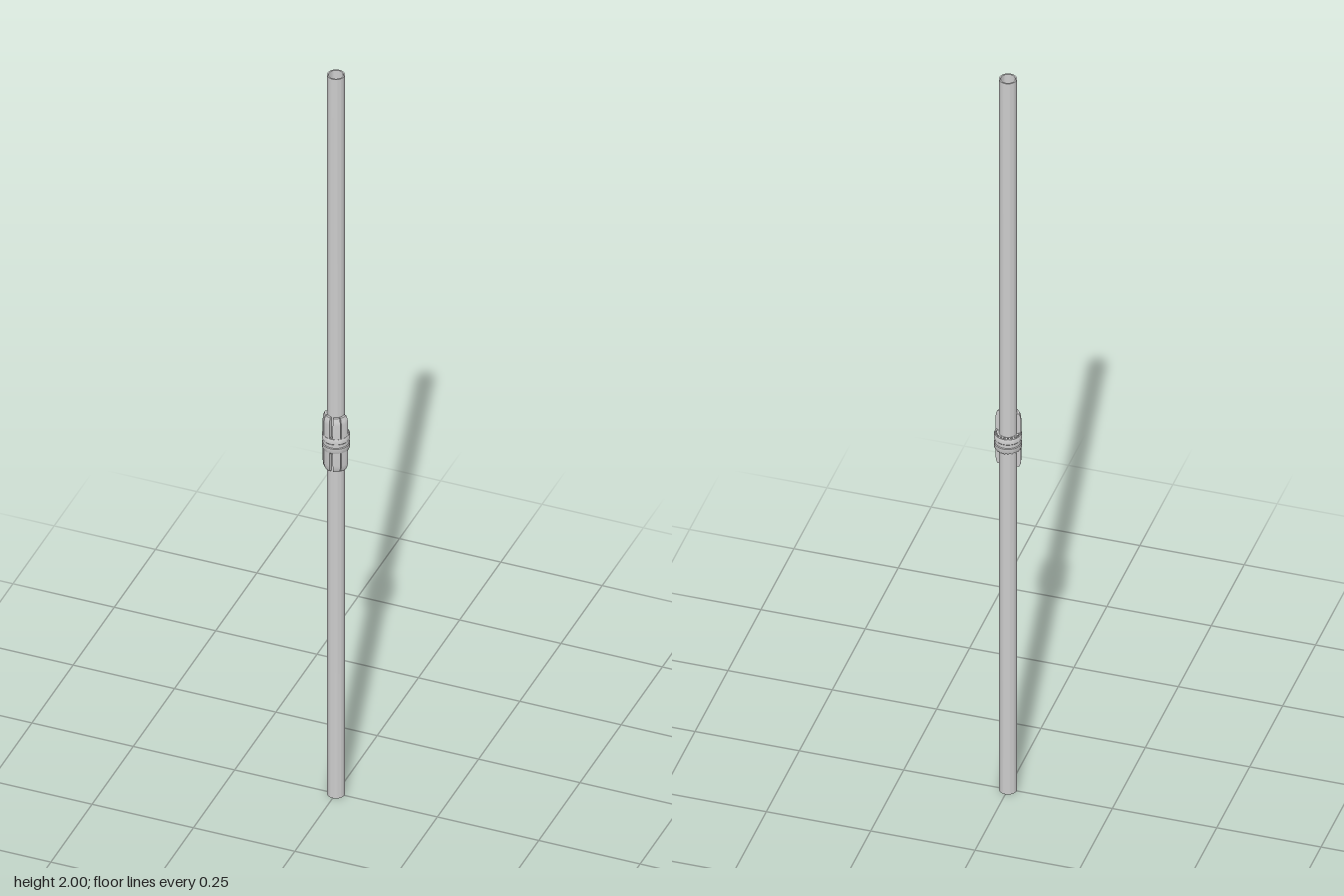
import * as THREE from 'three';
import { toCreasedNormals } from 'three/addons/utils/BufferGeometryUtils.js';

const material = new THREE.MeshStandardMaterial({ color: 0xcccccc, side: THREE.DoubleSide });
const points = (list) => list.map(([r, y]) => new THREE.Vector2(r, y));

function add(parent, name, geometry) {
  const mesh = new THREE.Mesh(geometry, material);
  mesh.name = name;
  parent.add(mesh);
  return mesh;
}

function lathe(profile, segments, start = 0, length = Math.PI * 2) {
  const pts = points([...profile, profile[0]]);
  return toCreasedNormals(new THREE.LatheGeometry(pts, segments, start, length), 0.6);
}

export function createModel() {
  const model = new THREE.Group();

  // Long hollow pole
  add(model, 'pole', lathe([[0.017, 0], [0.0205, 0], [0.0205, 2], [0.017, 2]], 40));

  // Grip panels wrapped round the front half, with a slot down the middle
  const grip = new THREE.Group();
  grip.name = 'frontGrip';
  model.add(grip);
  const panel = [
    [0.0205, 0.912], [0.026, 0.912], [0.0295, 0.92], [0.0305, 0.93],
    [0.0305, 1.042], [0.0295, 1.052], [0.026, 1.06], [0.0205, 1.06],
  ];
  const ranges = [[0.14, 0.72], [0.8, 1.5]];
  for (const side of [-1, 1]) {
    for (const [a, b] of ranges) {
      const start = side > 0 ? a : -b;
      add(grip, 'gripPanel', lathe(panel, 8, start, b - a));
      // Flat ends of each panel
      for (const angle of [start, start + b - a]) {
        const cap = add(grip, 'gripPanelEnd', new THREE.ShapeGeometry(new THREE.Shape(points(panel))));
        cap.rotation.y = angle - Math.PI / 2;
      }
    }
  }

  // Collar ring with a grooved waist
  const collar = new THREE.Group();
  collar.name = 'collar';
  model.add(collar);
  add(collar, 'collarRing', lathe([
    [0.0205, 0.966], [0.031, 0.966], [0.032, 0.968], [0.032, 0.979], [0.0305, 0.981],
    [0.0305, 0.99], [0.032, 0.992], [0.032, 1.003], [0.031, 1.005], [0.0205, 1.005],
  ], 48));

  // Pins through the collar, showing on both faces
  const pin = new THREE.CylinderGeometry(0.0026, 0.0026, 0.044, 10);
  const count = 20;
  for (let i = 0; i < count; i++) {
    const angle = (i / count) * Math.PI * 2;
    add(collar, 'collarPin', pin).position.set(0.0277 * Math.sin(angle), 0.9855, 0.0277 * Math.cos(angle));
  }
  return model;
}
